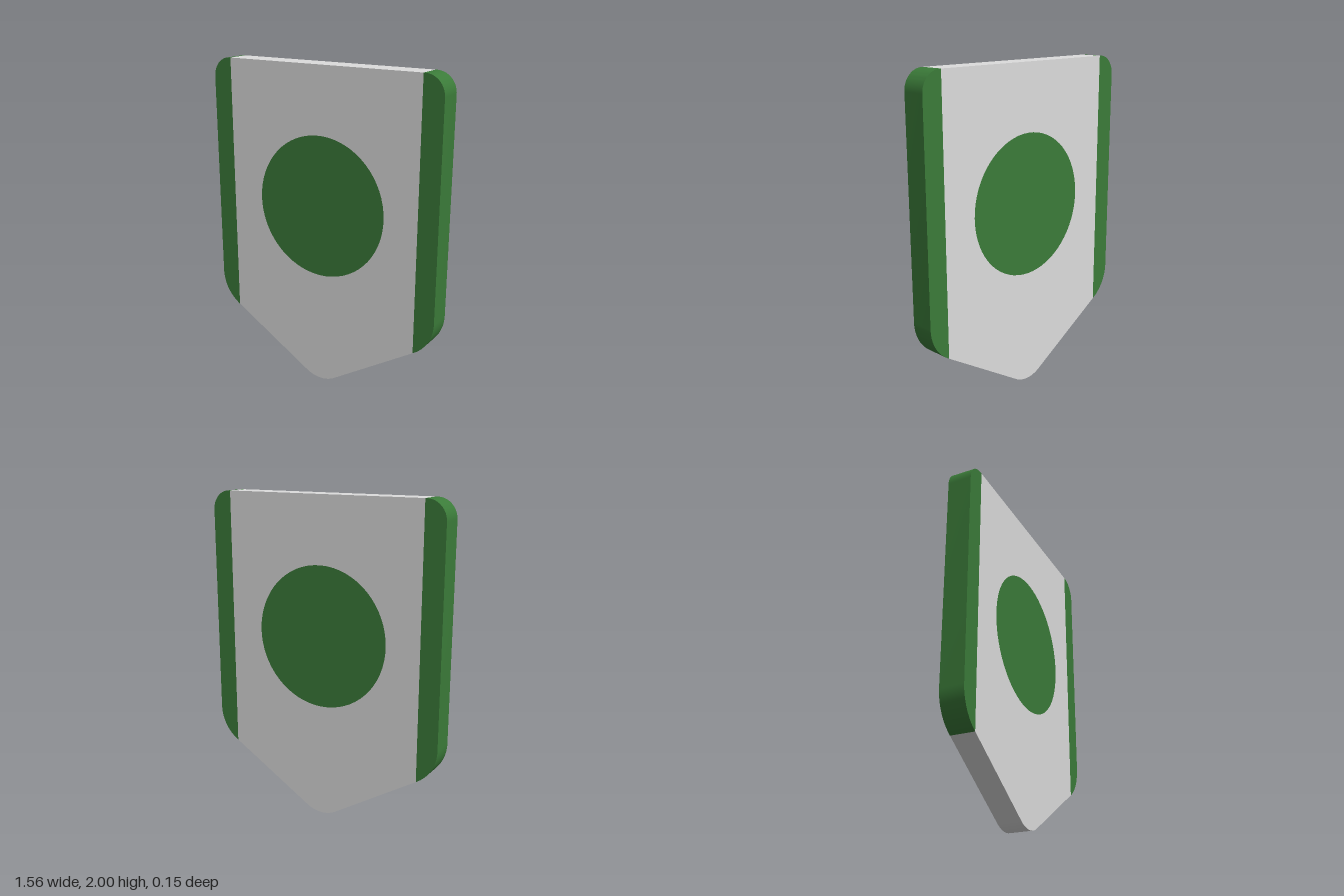
import * as THREE from 'three';
import { toCreasedNormals } from 'three/addons/utils/BufferGeometryUtils.js';

const DEPTH = 0.147;
const HALF_WIDTH = 0.78;
const SEAM = 0.652; // where the centre panel meets the side bands
const SLOPE = Math.atan(0.61); // angle of the lower edges
const TIP_RADIUS = 0.2;
const LOW_RADIUS = 0.25;
const TOP_RADIUS = 0.12;

// Height of the straight lower edge at a given x
const tipX = TIP_RADIUS * Math.sin(SLOPE);
const tipY = TIP_RADIUS * (1 - Math.cos(SLOPE));
const edgeY = (x) => tipY + (x - tipX) * Math.tan(SLOPE);

function plate(name, points, material) {
  const shape = new THREE.Shape(points);
  const geometry = new THREE.ExtrudeGeometry(shape, { depth: DEPTH, bevelEnabled: false });
  geometry.translate(0, 0, -DEPTH / 2);
  const mesh = new THREE.Mesh(toCreasedNormals(geometry, 0.5), material);
  mesh.name = name;
  return mesh;
}

function arc(cx, cy, r, from, to, steps = 20) {
  return Array.from({ length: steps + 1 }, (_, i) => {
    const a = from + ((to - from) * i) / steps;
    return new THREE.Vector2(cx + r * Math.cos(a), cy + r * Math.sin(a));
  });
}

export function createModel() {
  const grey = new THREE.MeshStandardMaterial({ color: 0xdcdcdc });
  grey.name = 'light grey';
  const green = new THREE.MeshStandardMaterial({ color: 0x3b7b39 });
  green.name = 'green';
  const model = new THREE.Group();
  model.name = 'badge';

  // Centre panel with a rounded point at the bottom
  const down = -Math.PI / 2;
  model.add(plate('centrePanel', [
    new THREE.Vector2(-SEAM, 2),
    new THREE.Vector2(-SEAM, edgeY(SEAM)),
    ...arc(0, TIP_RADIUS, TIP_RADIUS, down - SLOPE, down + SLOPE),
    new THREE.Vector2(SEAM, edgeY(SEAM)),
    new THREE.Vector2(SEAM, 2),
  ], grey));

  // Side bands; the lower arc is tangent to the sloping edge and the side
  const cx = HALF_WIDTH - LOW_RADIUS;
  const cy = edgeY(cx) + LOW_RADIUS / Math.cos(SLOPE);
  const start = Math.max(down + SLOPE, -Math.acos((SEAM - cx) / LOW_RADIUS));
  const band = [
    new THREE.Vector2(SEAM, edgeY(SEAM)),
    ...arc(cx, cy, LOW_RADIUS, start, 0),
    ...arc(HALF_WIDTH - TOP_RADIUS, 2 - TOP_RADIUS, TOP_RADIUS, 0, Math.PI / 2),
    new THREE.Vector2(SEAM, 2),
  ];
  for (const [name, side] of [['leftBand', 1], ['rightBand', -1]]) {
    model.add(plate(name, band.map((p) => new THREE.Vector2(p.x * side, p.y)), green));
  }

  // Painted discs on both faces
  for (const [name, side] of [['frontDisc', 1], ['backDisc', -1]]) {
    const disc = new THREE.Mesh(new THREE.CircleGeometry(0.437, 64), green);
    disc.name = name;
    disc.position.set(0, 1.153, side * (DEPTH / 2 + 0.0015));
    if (side < 0) disc.rotation.y = Math.PI;
    model.add(disc);
  }
  return model;
}
